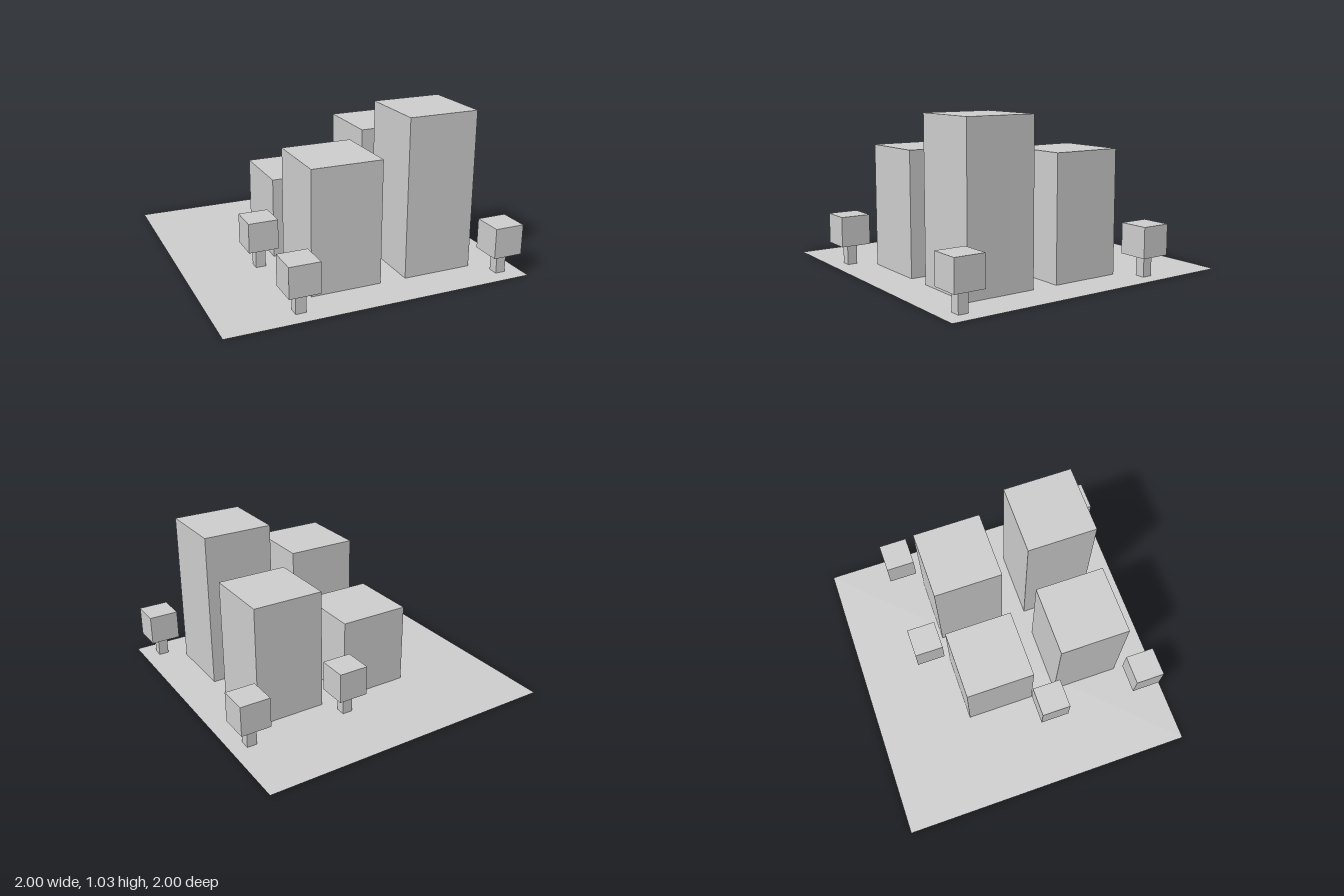
import * as THREE from 'three';

const material = new THREE.MeshStandardMaterial({ color: 0xcccccc, flatShading: true });
const groundMaterial = new THREE.MeshStandardMaterial({ color: 0xcccccc, side: THREE.DoubleSide });

// A square block standing on height y
function block(name, width, height, x, y, z) {
  const mesh = new THREE.Mesh(new THREE.BoxGeometry(width, height, width), material);
  mesh.name = name;
  mesh.position.set(x, y + height / 2, z);
  return mesh;
}

function createTree(x, z) {
  const tree = new THREE.Group();
  tree.name = 'tree';
  tree.position.set(x, 0, z);
  tree.add(block('trunk', 0.066, 0.137, 0, 0, 0));
  tree.add(block('canopy', 0.197, 0.197, 0, 0.137, 0));
  return tree;
}

export function createModel() {
  const model = new THREE.Group();
  model.name = 'cityBlock';

  // Flat ground sheet
  const ground = new THREE.Mesh(new THREE.PlaneGeometry(2, 2), groundMaterial);
  ground.name = 'ground';
  ground.rotation.x = -Math.PI / 2;
  model.add(ground);

  // Two by two towers: x, z, height
  const towers = [
    [-0.136, -0.136, 0.535],
    [0.5, -0.136, 0.8],
    [-0.136, 0.5, 0.8],
    [0.5, 0.5, 1.035],
  ];
  for (const [x, z, height] of towers) model.add(block('tower', 0.464, height, x, 0, z));

  // Trees around the towers: x, z
  const trees = [
    [-0.502, 0.181],
    [-0.502, 0.864],
    [0.181, -0.502],
    [0.864, -0.502],
    [0.864, 0.864],
  ];
  for (const [x, z] of trees) model.add(createTree(x, z));

  return model;
}
